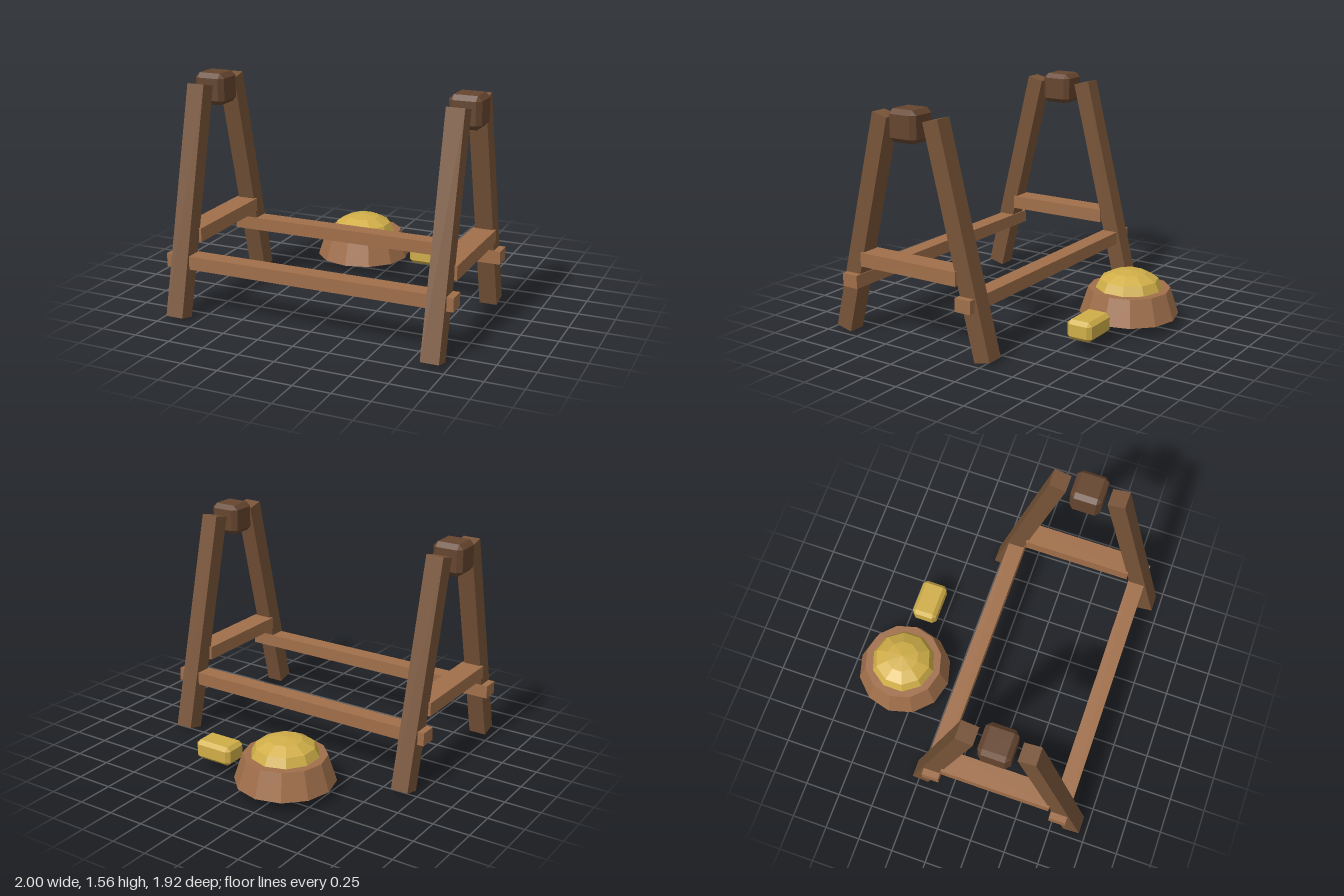
import * as THREE from 'three';
import { ConvexGeometry } from 'three/addons/geometries/ConvexGeometry.js';

function material(name, color) {
  const m = new THREE.MeshStandardMaterial({ color, flatShading: true });
  m.name = name;
  return m;
}

// Box with every edge and corner cut by c
function chamferedBox(w, h, d, c) {
  const points = [];
  const [a, b, e] = [w / 2, h / 2, d / 2];
  for (const sx of [-1, 1]) for (const sy of [-1, 1]) for (const sz of [-1, 1]) {
    points.push(
      new THREE.Vector3(sx * a, sy * (b - c), sz * (e - c)),
      new THREE.Vector3(sx * (a - c), sy * b, sz * (e - c)),
      new THREE.Vector3(sx * (a - c), sy * (b - c), sz * e)
    );
  }
  return new ConvexGeometry(points);
}

export function createModel() {
  const group = new THREE.Group();
  group.name = 'woodenFrame';
  const darkWood = material('darkWood', 0x785438);
  const blockWood = material('blockWood', 0x65452f);
  const lightWood = material('lightWood', 0xa06f4a);
  const gold = material('gold', 0xd0ae48);

  function add(name, geometry, mat, x, y, z) {
    const mesh = new THREE.Mesh(geometry, mat);
    mesh.name = name;
    mesh.position.set(x, y, z);
    group.add(mesh);
    return mesh;
  }

  const frameZ = 0.33; // middle of the A-frames
  const legGeometry = new THREE.BoxGeometry(0.122, 1.536, 0.119);
  const blockGeometry = chamferedBox(0.214, 0.212, 0.214, 0.031);
  const crossbarGeometry = new THREE.BoxGeometry(0.157, 0.094, 0.766);
  const railGeometry = new THREE.BoxGeometry(2, 0.09, 0.118);

  // Two A-frames, each with leaning legs, a crossbar and a top block
  for (const [side, x] of [['left', 0.893], ['right', -0.893]]) {
    for (const [end, s] of [['Front', 1], ['Back', -1]]) {
      const leg = add(side + end + 'Leg', legGeometry, darkWood, x, 0.762, frameZ + s * 0.384);
      leg.rotation.x = -s * 0.243;
    }
    add(side + 'Crossbar', crossbarGeometry, lightWood, x, 0.534, frameZ);
    add(side + 'TopBlock', blockGeometry, blockWood, x, 1.456, frameZ);
  }

  // Long rails joining the frames
  add('frontRail', railGeometry, lightWood, 0, 0.381, frameZ + 0.458);
  add('backRail', railGeometry, lightWood, 0, 0.381, frameZ - 0.458);

  // Tapered tub behind the frame, with a heaped golden mound
  add('tub', new THREE.CylinderGeometry(0.278, 0.337, 0.181, 12), lightWood, -0.23, 0.1655, -0.626);
  const mound = add('goldMound',
    new THREE.SphereGeometry(0.229, 10, 3, 0, Math.PI * 2, 0, Math.PI / 2), gold, -0.23, 0.257, -0.624);
  mound.rotation.y = Math.PI / 2;
  mound.scale.y = 0.53;

  // Loose golden bar
  add('goldBar', chamferedBox(0.278, 0.134, 0.182, 0.026), gold, 0.307, 0.142, -0.625);

  return group;
}
